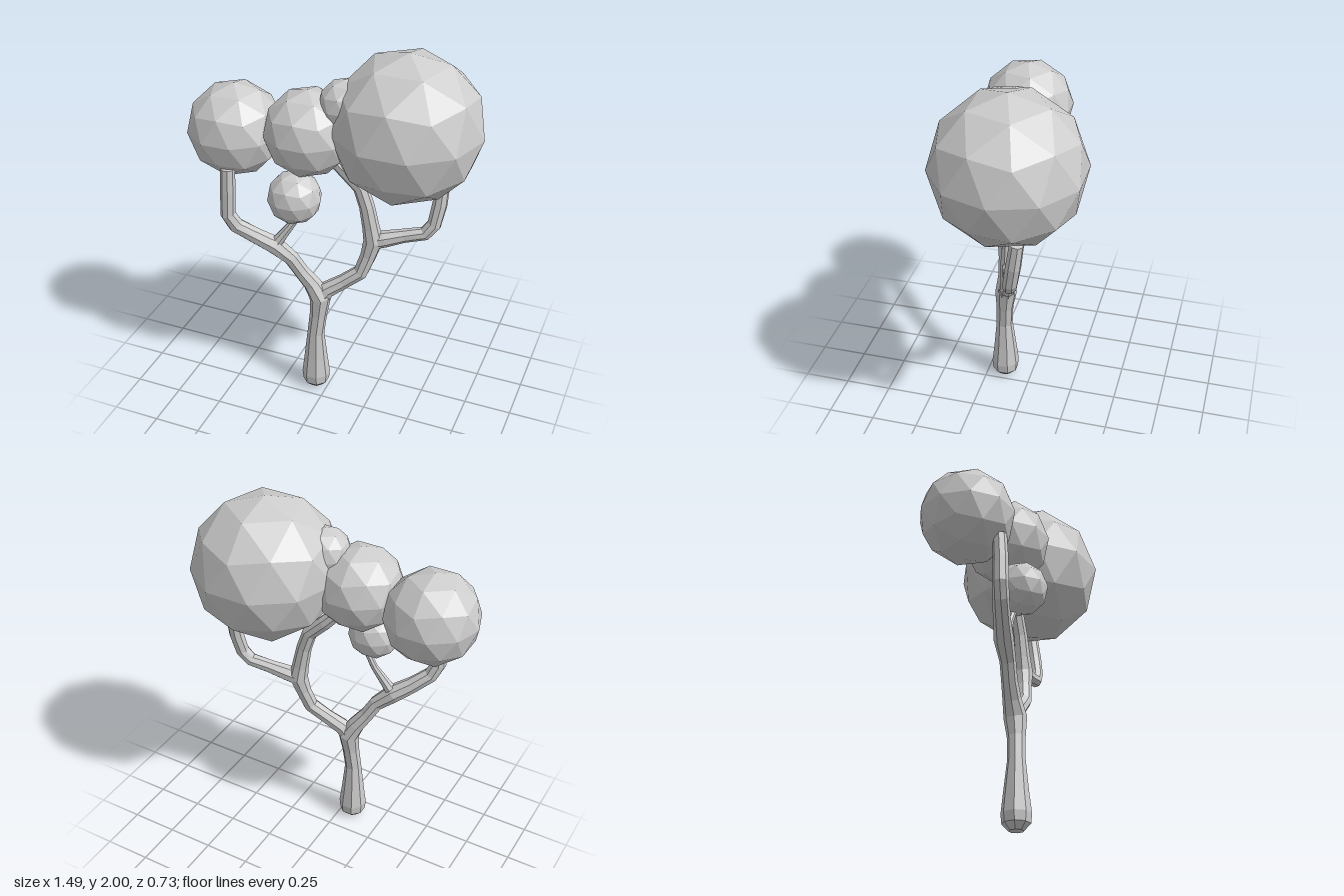
import * as THREE from 'three';

const SIDES = 8;

// Eight-sided limb swept through [x, y, z, halfWidth] stations, capped at both ends
function limbGeometry(stations) {
  const pts = stations.map(s => new THREE.Vector3(s[0], s[1], s[2]));
  const zAxis = new THREE.Vector3(0, 0, 1);
  const pos = [], idx = [];
  const last = pts.length - 1;
  pts.forEach((p, i) => {
    const before = p.clone().sub(pts[Math.max(i - 1, 0)]).normalize();
    const after = pts[Math.min(i + 1, last)].clone().sub(p).normalize();
    const t = before.add(after).normalize();
    const u = t.clone().cross(zAxis).normalize();
    const v = t.clone().cross(u);
    const r = stations[i][3] / Math.cos(Math.PI / SIDES);
    for (let j = 0; j < SIDES; j++) {
      const a = (j + 0.5) / SIDES * Math.PI * 2;
      const q = p.clone().addScaledVector(u, r * Math.cos(a)).addScaledVector(v, r * Math.sin(a));
      pos.push(q.x, q.y, q.z);
    }
  });
  const start = pos.length / 3, end = start + 1;
  pos.push(...pts[0].toArray(), ...pts[last].toArray());
  for (let j = 0; j < SIDES; j++) {
    const k = (j + 1) % SIDES;
    for (let i = 0; i < last; i++) {
      const a = i * SIDES + j, b = i * SIDES + k;
      idx.push(a, b, b + SIDES, a, b + SIDES, a + SIDES);
    }
    idx.push(start, k, j, end, last * SIDES + j, last * SIDES + k);
  }
  const g = new THREE.BufferGeometry();
  g.setAttribute('position', new THREE.Float32BufferAttribute(pos, 3));
  g.setIndex(idx);
  g.computeVertexNormals();
  return g;
}

// Faceted ball with a corner pointing straight up
function ballGeometry(r) {
  const g = new THREE.IcosahedronGeometry(r, 1);
  g.rotateX(-Math.atan2((1 + Math.sqrt(5)) / 2, 1));
  g.rotateY(Math.PI);
  return g;
}

export function createModel() {
  const tree = new THREE.Group();
  tree.name = 'tree';
  const grey = new THREE.MeshStandardMaterial({ color: 0xcccccc, flatShading: true });
  grey.name = 'plainGrey';

  const add = (name, geometry) => {
    const m = new THREE.Mesh(geometry, grey);
    m.name = name;
    tree.add(m);
    return m;
  };

  // Trunk, running on into the limb on the right
  add('trunkAndRightLimb', limbGeometry([
    [-0.07, 0.005, 0.15, 0.035], [-0.07, 0.04, 0.15, 0.066], [-0.07, 0.09, 0.15, 0.07],
    [-0.07, 0.2, 0.15, 0.058], [-0.068, 0.36, 0.152, 0.042], [-0.055, 0.48, 0.145, 0.043],
    [-0.045, 0.59, 0.135, 0.055], [-0.09, 0.67, 0.142, 0.044], [-0.145, 0.75, 0.16, 0.038],
    [-0.19, 0.83, 0.178, 0.038], [-0.275, 0.91, 0.205, 0.046], [-0.36, 0.97, 0.245, 0.04],
    [-0.445, 1.04, 0.29, 0.038], [-0.477, 1.11, 0.308, 0.037], [-0.472, 1.24, 0.305, 0.036],
    [-0.47, 1.37, 0.298, 0.034],
  ]));

  // Thin twig to the hanging ball
  add('twig', limbGeometry([
    [-0.28, 0.9, 0.205, 0.035], [-0.235, 0.965, 0.195, 0.026],
    [-0.17, 1.06, 0.18, 0.018], [-0.12, 1.15, 0.18, 0.015],
  ]));

  // Limb on the left, bending back to the middle balls
  add('leftLimb', limbGeometry([
    [-0.05, 0.58, 0.135, 0.045], [-0.01, 0.64, 0.12, 0.042], [0.07, 0.695, 0.095, 0.037],
    [0.155, 0.76, 0.07, 0.038], [0.19, 0.86, 0.052, 0.039], [0.212, 0.95, 0.038, 0.048],
    [0.198, 1.03, 0.04, 0.041], [0.175, 1.15, 0.042, 0.037], [0.14, 1.255, 0.042, 0.037],
    [0.05, 1.345, 0.048, 0.036], [-0.02, 1.42, 0.06, 0.033],
  ]));

  // Side branch to the big ball
  add('leftBranch', limbGeometry([
    [0.2, 0.945, 0.038, 0.042], [0.27, 0.965, 0.02, 0.041], [0.36, 0.99, -0.005, 0.034],
    [0.465, 1.015, -0.03, 0.034], [0.507, 1.07, -0.045, 0.035],
    [0.525, 1.18, -0.065, 0.036], [0.532, 1.315, -0.085, 0.033],
  ]));

  // Foliage balls
  const balls = [
    ['bigFoliage', 0.358, 1.615, 0, 0.385],
    ['rightFoliage', -0.5, 1.512, 0.128, 0.245],
    ['middleFoliage', -0.105, 1.562, 0.126, 0.226],
    ['hangingFoliage', -0.14, 1.242, 0.23, 0.139],
    ['topFoliage', 0.075, 1.725, 0.095, 0.132],
  ];
  for (const [name, x, y, z, r] of balls) add(name, ballGeometry(r)).position.set(x, y, z);

  return tree;
}
